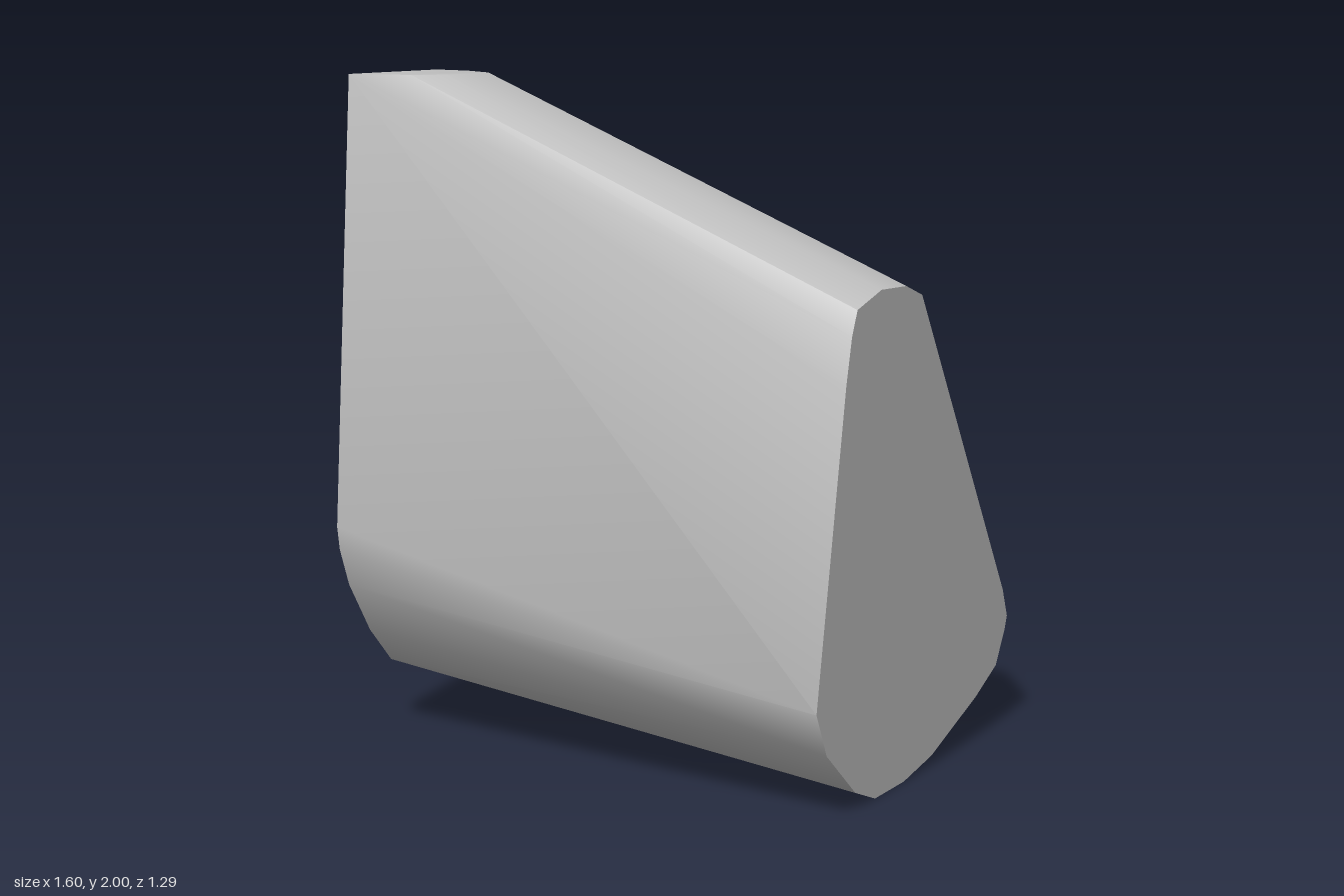
import * as THREE from 'three';
import { ConvexGeometry } from 'three/addons/geometries/ConvexGeometry.js';
import { toCreasedNormals } from 'three/addons/utils/BufferGeometryUtils.js';

// Outline of each flat end as [z, y]
const LEFT_END = [
  [0.61, 0.33], [0.46, 1.2], [0.43, 1.33], [0.4, 1.4], [0.26, 1.44], [0.11, 1.435],
  [0.01, 1.4], [-0.58, 0.43], [-0.615, 0.34], [-0.6, 0.3], [-0.54, 0.2], [-0.4, 0.135],
  [-0.1, 0.03], [0.08, 0], [0.26, 0], [0.38, 0.05], [0.55, 0.2],
];
const RIGHT_END = [
  [0.545, 2], [0.645, 0.67], [0.635, 0.6], [0.595, 0.485], [0.5, 0.325], [0.4, 0.21],
  [-0.18, 0.135], [-0.24, 0.15], [-0.49, 0.385], [-0.58, 0.49], [-0.645, 0.59],
  [-0.55, 0.79], [0.12, 2],
];

// Corners between the ends as [x, y, z]: flat top patch and lower back edge
const BETWEEN = [
  [-0.6, 2, 0.51], [-0.52, 2, 0.44], [-0.52, 2, 0.24], [-0.66, 2, 0.15],
  [0.68, 0.42, -0.645], [-0.1, 0.52, -0.645],
];

export function createModel() {
  const group = new THREE.Group();
  group.name = 'stoneChunk';

  const stone = new THREE.MeshStandardMaterial({ color: 0xc0c0c0 });
  stone.name = 'stone grey';

  const end = (outline, x) => outline.map(([z, y]) => new THREE.Vector3(x, y, z));
  const points = [
    ...end(LEFT_END, 0.8),
    ...end(RIGHT_END, -0.8),
    ...BETWEEN.map((p) => new THREE.Vector3(...p)),
  ];

  // Soft rounded sides with sharp rims at the flat ends
  const geometry = toCreasedNormals(new ConvexGeometry(points), THREE.MathUtils.degToRad(35));
  const body = new THREE.Mesh(geometry, stone);
  body.name = 'stoneBody';
  group.add(body);
  return group;
}
